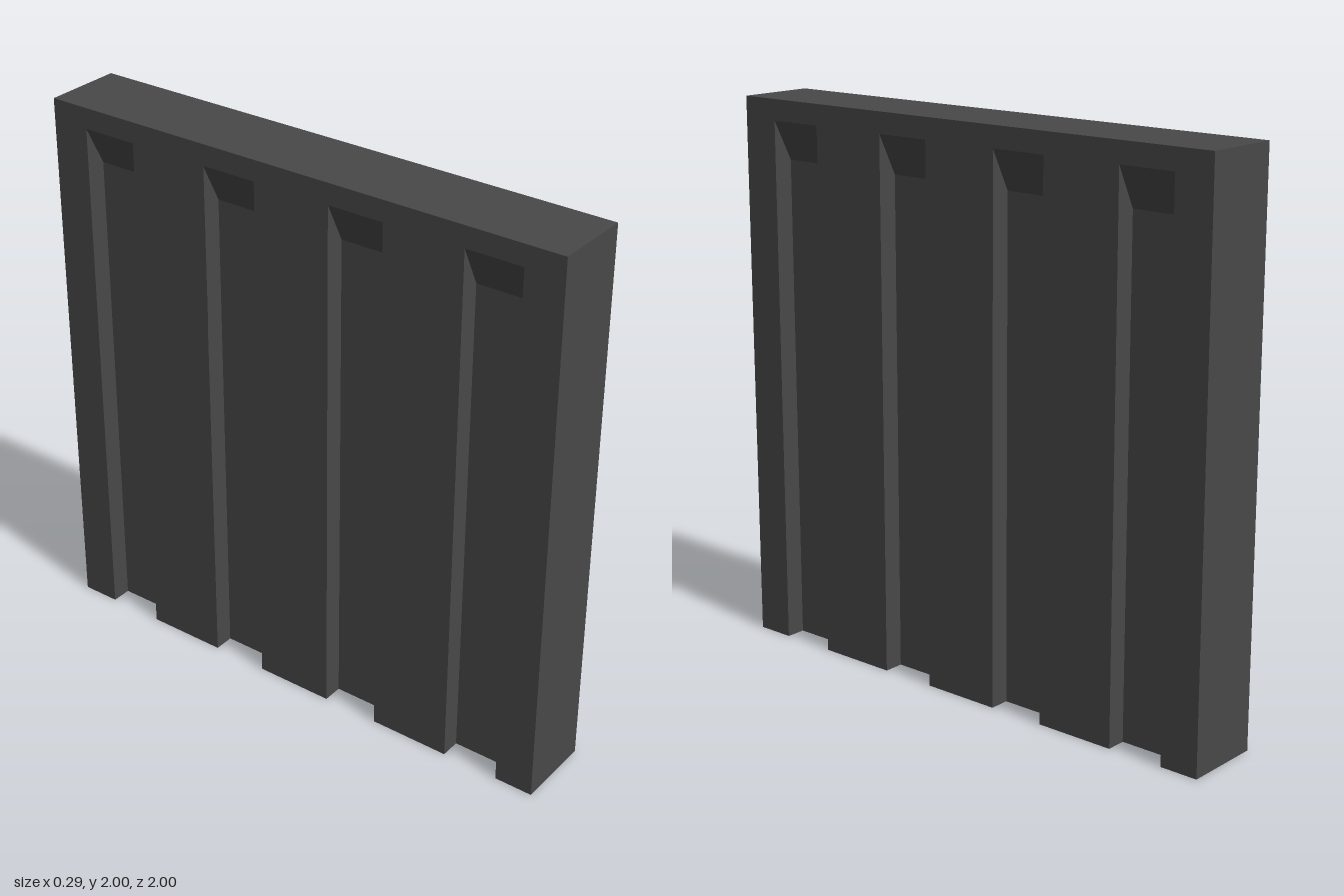
import * as THREE from 'three';

const HALF_X = 0.143;      // half thickness of the slab
const FLOOR_X = 0.07;      // half thickness between opposite grooves
const GROOVES = [-0.755, -0.25, 0.25, 0.755];
const HALF_GROOVE = 0.104;
const LEVELS = [0, 1.78, 1.925, 2]; // base, slope start, slope end, top

// One long edge of the plan, running towards +z, notched by the grooves
function notchedEdge() {
  const pts = [[HALF_X, -1]];
  for (const c of GROOVES) {
    const a = c - HALF_GROOVE, b = c + HALF_GROOVE;
    pts.push([HALF_X, a], [FLOOR_X, a], [FLOOR_X, b], [HALF_X, b]);
  }
  pts.push([HALF_X, 1]);
  return pts;
}

function slabGeometry() {
  const edge = notchedEdge();
  const outline = [...edge, ...edge.map(([x, z]) => [-x, -z])];
  const shape = new THREE.Shape(outline.map(([x, z]) => new THREE.Vector2(x, z)));
  const geo = new THREE.ExtrudeGeometry(shape, { depth: 3, steps: 3, bevelEnabled: false });
  geo.rotateX(-Math.PI / 2);

  // Set the layer heights; the groove floors slope out to the face near the top
  const pos = geo.attributes.position;
  for (let i = 0; i < pos.count; i++) {
    const layer = Math.round(pos.getY(i));
    pos.setY(i, LEVELS[layer]);
    if (layer >= 2) pos.setX(i, Math.sign(pos.getX(i)) * HALF_X);
  }
  geo.computeVertexNormals();
  return geo;
}

export function createModel() {
  const group = new THREE.Group();
  group.name = 'groovedWallPanel';
  const material = new THREE.MeshStandardMaterial({ color: 0x484848 });

  const slab = new THREE.Mesh(slabGeometry(), material);
  slab.name = 'groovedSlab';
  group.add(slab);

  // Thin plate lying on the face between two grooves
  const plate = new THREE.Mesh(new THREE.PlaneGeometry(0.3, 0.56), material);
  plate.name = 'facePlate';
  plate.rotation.y = -Math.PI / 2;
  plate.position.set(-HALF_X - 0.003, 1.64, -0.5);
  group.add(plate);

  return group;
}
